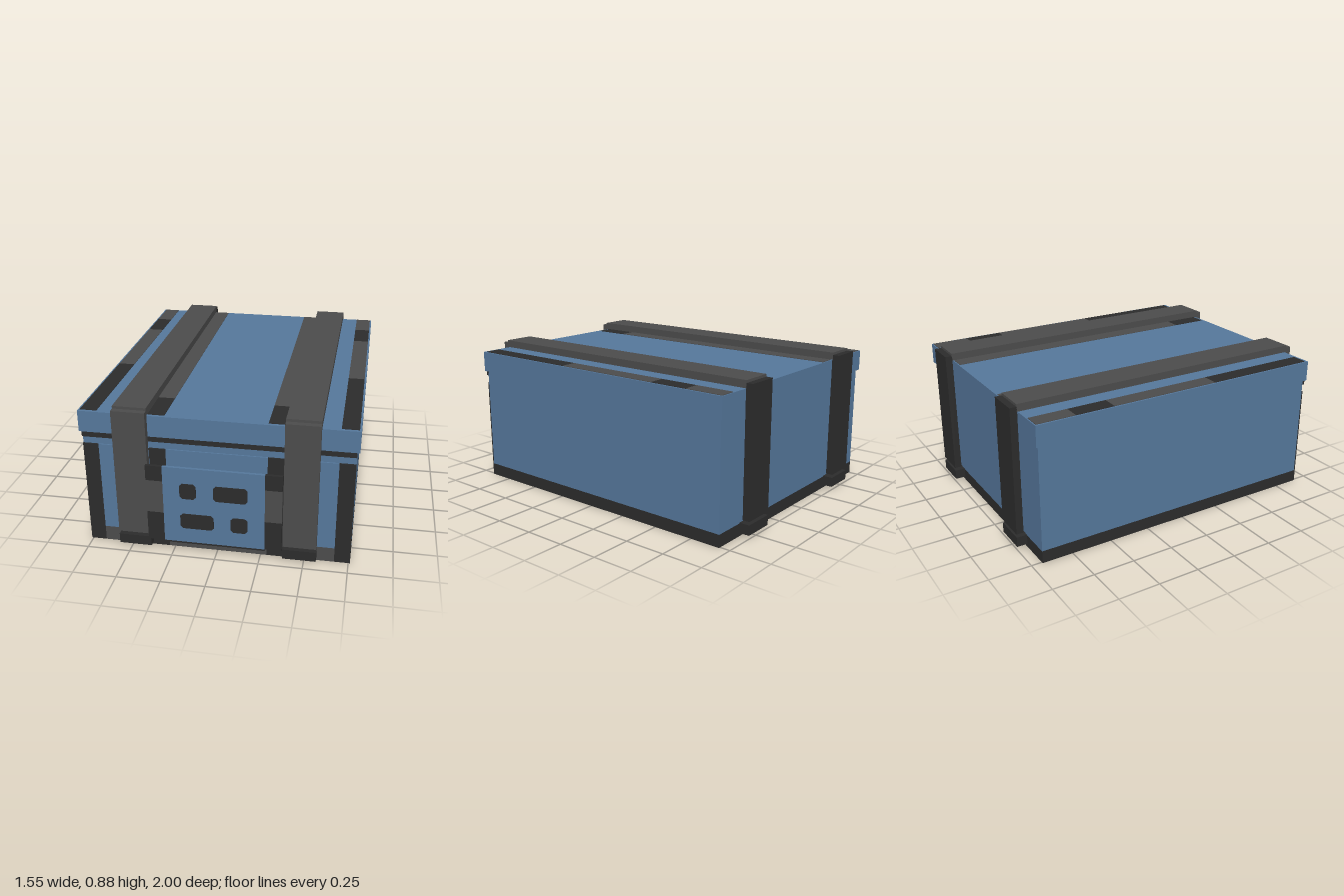
import * as THREE from 'three';

const mat = (name, color) => {
  const m = new THREE.MeshStandardMaterial({ color });
  m.name = name;
  return m;
};

export function createModel() {
  const blue = mat('blue', 0x55779b);
  const grey = mat('strap grey', 0x4c4c4c);
  const dark = mat('dark grey', 0x2c2c2c);
  const model = new THREE.Group();
  model.name = 'strappedCase';

  // Box given by its minimum and maximum on each axis
  const box = (name, material, [x0, x1], [y0, y1], [z0, z1]) => {
    const mesh = new THREE.Mesh(new THREE.BoxGeometry(x1 - x0, y1 - y0, z1 - z0), material);
    mesh.position.set((x0 + x1) / 2, (y0 + y1) / 2, (z0 + z1) / 2);
    mesh.name = name;
    model.add(mesh);
  };
  // The same box on the left and right
  const pair = (name, material, [x0, x1], y, z) => {
    box(name + 'Left', material, [x0, x1], y, z);
    box(name + 'Right', material, [-x1, -x0], y, z);
  };

  // Case body, base and lid
  box('base', dark, [-0.76, 0.76], [0, 0.075], [-0.937, 0.897]);
  box('body', blue, [-0.76, 0.76], [0.075, 0.71], [-0.937, 0.897]);
  box('lid', blue, [-0.775, 0.775], [0.705, 0.83], [-0.952, 0.912]);
  box('lidSeal', dark, [-0.76, 0.76], [0.675, 0.705], [0.89, 0.912]);

  // Front facing: upright strips, blue panels between them and a lower rail
  const face = [0.896, 0.905];
  pair('cornerStrip', dark, [0.67, 0.76], [0, 0.63], face);
  pair('innerStrip', dark, [0.285, 0.38], [0.09, 0.63], face);
  pair('sidePanel', blue, [0.38, 0.67], [0.09, 0.63], face);
  box('middlePanel', blue, [-0.285, 0.285], [0.09, 0.63], face);
  box('railMiddle', grey, [-0.285, 0.285], [0, 0.09], face);
  pair('railDark', dark, [0.285, 0.48], [0, 0.09], face);
  pair('railEnd', grey, [0.48, 0.67], [0, 0.09], face);

  // Lid strips, as [zStart, zEnd, material]
  const lidTop = [0.829, 0.833];
  const outer = [
    [-0.945, -0.715, grey], [-0.715, -0.48, dark],
    [-0.48, 0.195, grey], [0.195, 0.893, dark],
  ];
  const inner = [[-0.945, 0.665, grey], [0.665, 0.893, dark]];
  for (const [z0, z1, m] of outer) pair('lidEdgeStrip', m, [0.67, 0.765], lidTop, [z0, z1]);
  for (const [z0, z1, m] of inner) pair('lidInnerStrip', m, [0.285, 0.38], lidTop, [z0, z1]);

  // Two straps wrapped around the case
  const strap = [0.38, 0.57];
  pair('strapTop', grey, strap, [0.833, 0.877], [-0.96, 0.918]);
  pair('strapFront', grey, strap, [0.1, 0.862], [0.912, 0.952]);
  pair('strapBack', dark, strap, [0.1, 0.862], [-1, -0.957]);
  pair('strapBottom', dark, strap, [0.02, 0.08], [-1, 0.952]);

  // Latch block with its front plate
  box('latchBlock', dark, [-0.285, 0.285], [0.08, 0.49], [0.935, 0.983]);
  const plate = [0.98, 0.997];
  box('latchPlate', blue, [-0.285, 0.285], [0.1, 0.572], plate);
  pair('plateSideTop', dark, [0.285, 0.38], [0.48, 0.572], plate);
  pair('plateSideMiddle', grey, [0.285, 0.38], [0.28, 0.48], plate);
  pair('plateSideBottom', dark, [0.285, 0.38], [0.1, 0.28], plate);

  // Dark slots with cut corners
  const slots = [
    [-0.19, -0.097, 0.382, 0.477], [0, 0.19, 0.382, 0.477],
    [-0.19, 0, 0.192, 0.286], [0.095, 0.19, 0.192, 0.286],
  ];
  const c = 0.015;
  for (const [x0, x1, y0, y1] of slots) {
    const outline = new THREE.Shape([
      [x0 + c, y0], [x1 - c, y0], [x1, y0 + c], [x1, y1 - c],
      [x1 - c, y1], [x0 + c, y1], [x0, y1 - c], [x0, y0 + c],
    ].map(([x, y]) => new THREE.Vector2(x, y)));
    const slot = new THREE.Mesh(
      new THREE.ExtrudeGeometry(outline, { depth: 0.004, bevelEnabled: false }), dark);
    slot.position.z = 0.996;
    slot.name = 'plateSlot';
    model.add(slot);
  }
  return model;
}
